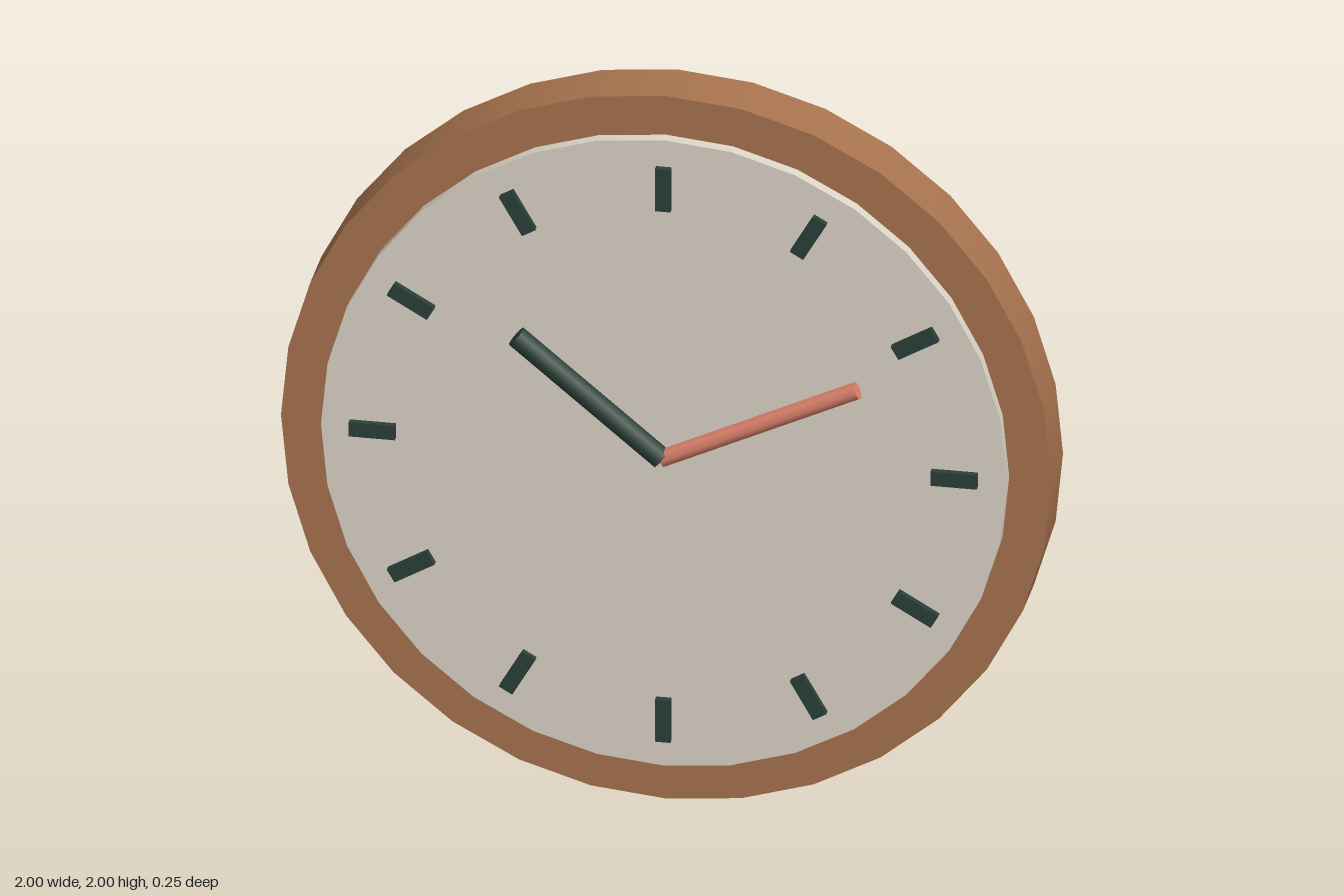
import * as THREE from 'three';

const mat = (color) => new THREE.MeshStandardMaterial({ color });

export function createModel() {
  const clock = new THREE.Group();
  clock.name = 'wallClock';
  const wood = mat(0xa9744f), cream = mat(0xded6c8), dark = mat(0x2b4038), coral = mat(0xdc816c);

  const add = (name, geometry, material, parent = clock) => {
    const mesh = new THREE.Mesh(geometry, material);
    mesh.name = name;
    parent.add(mesh);
    return mesh;
  };

  // Round disc facing +z between two depths
  const disc = (name, radius, back, front, material) => {
    const geometry = new THREE.CylinderGeometry(radius, radius, front - back, 32);
    geometry.rotateX(Math.PI / 2);
    add(name, geometry, material).position.set(0, 1, (front + back) / 2);
  };
  disc('body', 1, -0.125, 0.03, wood);
  disc('dial', 0.89, 0.03, 0.063, cream);

  // Twelve hour marks around the dial
  const marks = new THREE.Group();
  marks.name = 'hourMarks';
  marks.position.set(0, 1, 0.071);
  clock.add(marks);
  const markGeometry = new THREE.BoxGeometry(0.04, 0.12, 0.02);
  for (let i = 0; i < 12; i++) {
    const a = (i * Math.PI) / 6;
    const mark = add('hourMark', markGeometry, dark, marks);
    mark.position.set(Math.sin(a) * 0.755, Math.cos(a) * 0.755, 0);
    mark.rotation.z = -a;
  }

  // Rod-like hands running from the centre to a tip
  const hand = (name, x, y, radius, material) => {
    const geometry = new THREE.CylinderGeometry(radius, radius, Math.hypot(x, y), 8);
    const mesh = add(name, geometry, material);
    mesh.position.set(x / 2, 1 + y / 2, 0.095);
    mesh.rotation.z = Math.atan2(-x, y);
  };
  hand('hourHand', -0.377, 0.313, 0.03, dark);
  hand('minuteHand', 0.508, 0.241, 0.024, coral);

  return clock;
}
